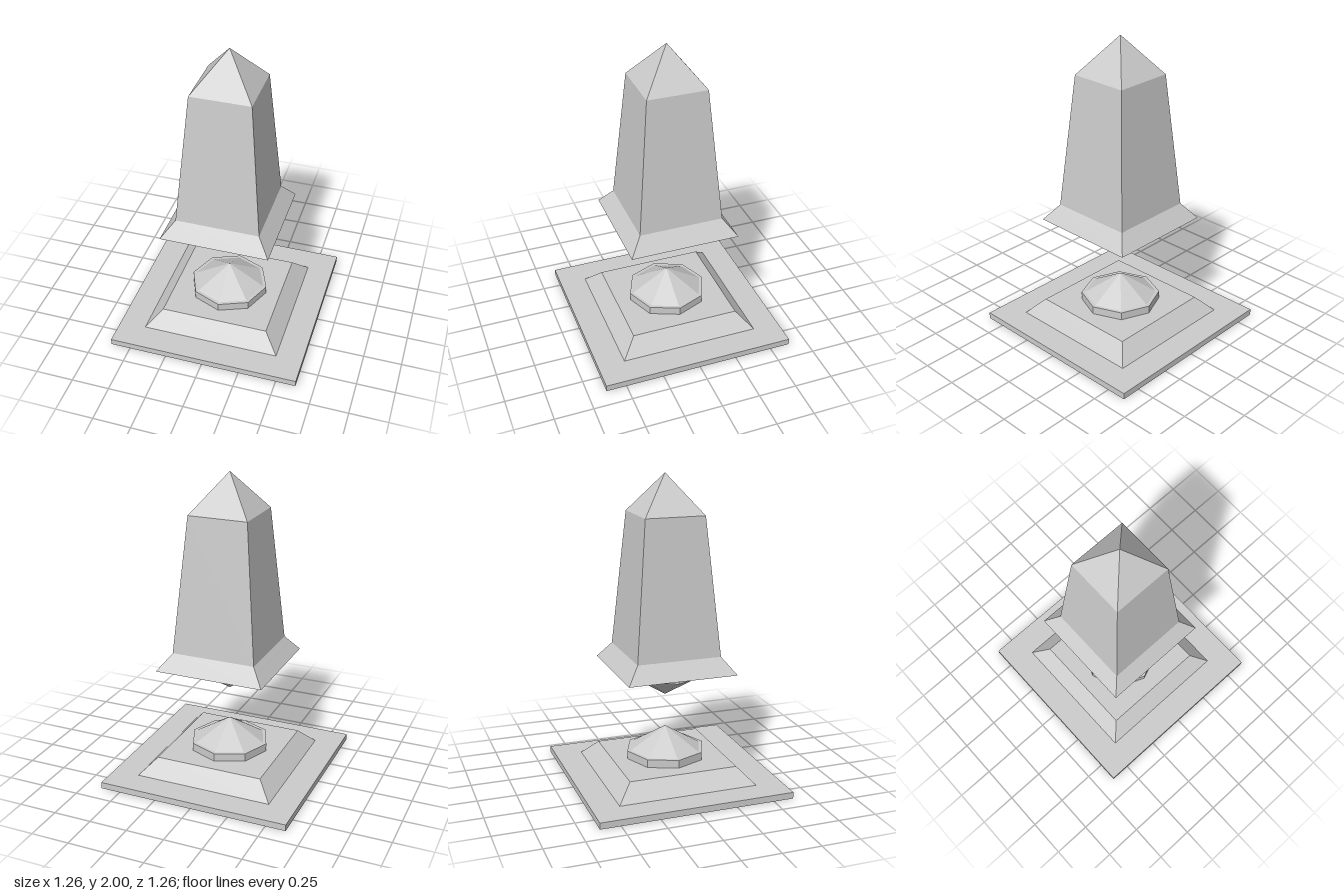
import * as THREE from 'three';

const material = new THREE.MeshStandardMaterial({ color: 0xcccccc, flatShading: true });

// Revolves a [radius, y] profile, listed bottom to top, into a faceted solid
function faceted(name, profile, sides, startAngle = 0) {
  const points = profile.map(([r, y]) => new THREE.Vector2(r, y));
  const geometry = new THREE.LatheGeometry(points, sides, startAngle).toNonIndexed();
  geometry.computeVertexNormals();
  const mesh = new THREE.Mesh(geometry, material);
  mesh.name = name;
  return mesh;
}

// Square solid: profile gives half widths
function square(name, profile) {
  return faceted(name, profile.map(([h, y]) => [h * Math.SQRT2, y]), 4, Math.PI / 4);
}

// Octagonal collar with a low point, facing up
function createEmitter(name) {
  const group = new THREE.Group();
  group.name = name;
  group.add(
    faceted('collar', [[0, 0], [0.262, 0], [0.262, 0.053], [0, 0.053]], 8),
    faceted('point', [[0.24, 0.053], [0, 0.2]], 8)
  );
  return group;
}

export function createModel() {
  const model = new THREE.Group();
  model.name = 'floatingObelisk';

  // Stepped base
  const slab = new THREE.Mesh(new THREE.BoxGeometry(1.264, 0.042, 1.264), material);
  slab.name = 'baseSlab';
  slab.position.y = 0.021;
  model.add(slab);
  model.add(square('plinth', [[0.456, 0.042], [0.358, 0.147], [0, 0.147]]));

  // Floating obelisk with flared foot and pyramid tip
  model.add(square('obelisk', [[0, 0.76], [0.357, 0.76], [0.275, 0.867], [0.195, 1.75], [0, 2]]));

  // Facing points above the base and below the obelisk
  const lower = createEmitter('lowerEmitter');
  lower.position.y = 0.147;
  const upper = createEmitter('upperEmitter');
  upper.position.y = 0.765;
  upper.rotation.x = Math.PI;
  model.add(lower, upper);

  return model;
}
